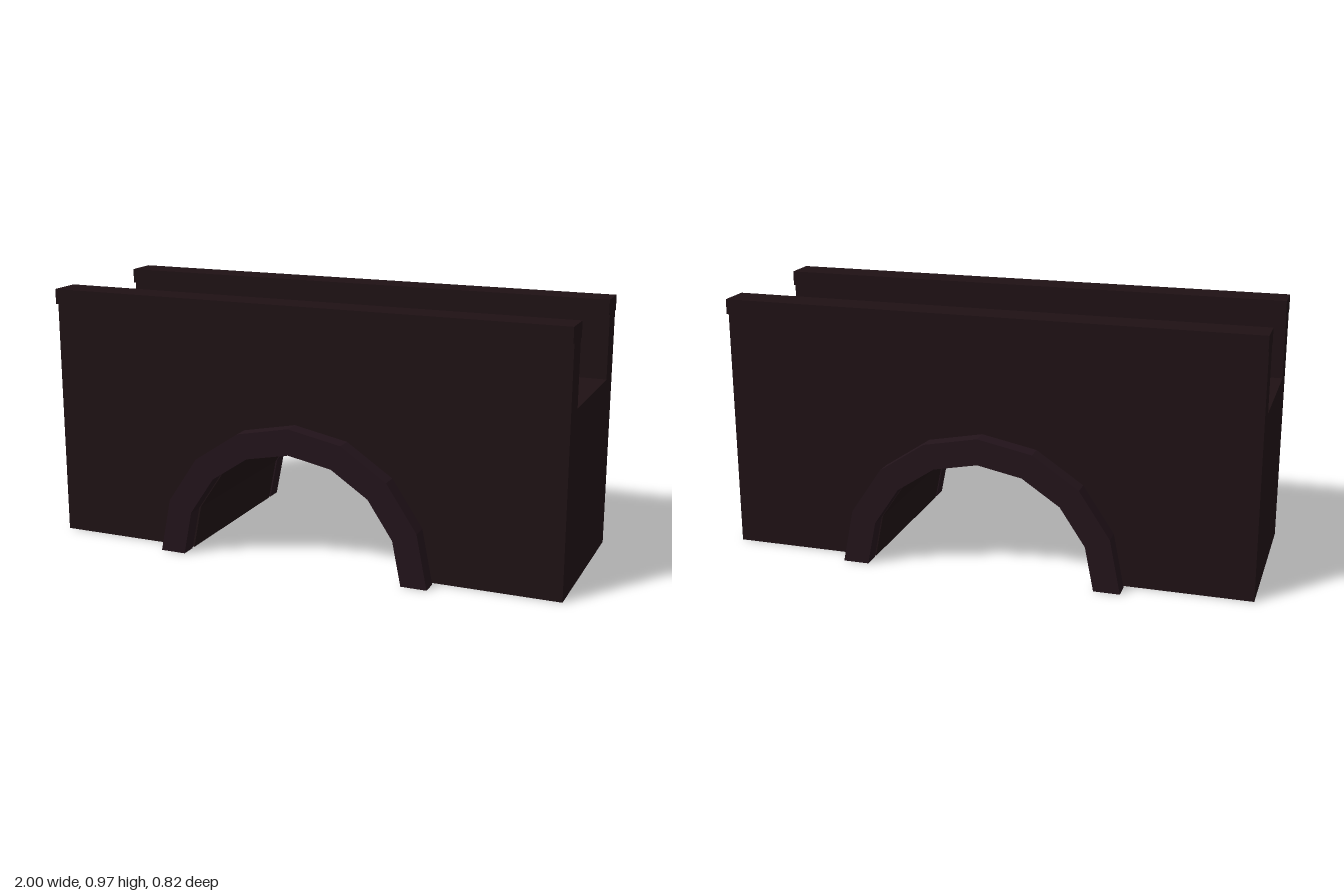
import * as THREE from 'three';

const ARCH_INNER = 0.435, ARCH_OUTER = 0.533, ARCH_SIDES = 8;
const HALF_LENGTH = 1, HALF_WIDTH = 0.333, DECK_Y = 0.667;

// Points of a faceted half circle, running from +x over the top to -x
function halfCircle(radius) {
  return Array.from({ length: ARCH_SIDES + 1 }, (_, i) => {
    const a = (i / ARCH_SIDES) * Math.PI;
    return new THREE.Vector2(radius * Math.cos(a), radius * Math.sin(a));
  });
}

// Extrudes an outline along z, centred on the given z
function extrude(points, depth, z) {
  const geometry = new THREE.ExtrudeGeometry(new THREE.Shape(points), { depth, bevelEnabled: false });
  return geometry.translate(0, 0, z - depth / 2);
}

export function createModel() {
  const model = new THREE.Group();
  model.name = 'archBridge';
  const stone = new THREE.MeshStandardMaterial({ color: 0x1e1114, flatShading: true });
  const trim = new THREE.MeshStandardMaterial({ color: 0x22131a, flatShading: true });

  const add = (name, geometry, material = stone) => {
    const mesh = new THREE.Mesh(geometry, material);
    mesh.name = name;
    model.add(mesh);
  };

  // Solid body with the arched tunnel cut through its underside
  const outline = [
    new THREE.Vector2(-HALF_LENGTH, 0),
    ...halfCircle(ARCH_INNER).reverse(),
    new THREE.Vector2(HALF_LENGTH, 0),
    new THREE.Vector2(HALF_LENGTH, DECK_Y),
    new THREE.Vector2(-HALF_LENGTH, DECK_Y),
  ];
  add('bridgeBody', extrude(outline, HALF_WIDTH * 2, 0));

  // Raised ring around each arch opening, standing just clear of the wall
  const ring = [...halfCircle(ARCH_OUTER), ...halfCircle(ARCH_INNER).reverse()];

  for (const [side, s] of [['front', 1], ['back', -1]]) {
    // Parapet wall on the deck edge
    add(side + 'Parapet',
      new THREE.BoxGeometry(2 * HALF_LENGTH, 0.243, 0.095).translate(0, 0.7885, s * 0.2855));
    // Overhanging coping along the parapet top
    add(side + 'Coping',
      new THREE.BoxGeometry(2 * HALF_LENGTH, 0.057, 0.124).translate(0, 0.9385, s * 0.286));
    add(side + 'ArchRing', extrude(ring, 0.063, s * 0.3795), trim);
  }
  return model;
}
